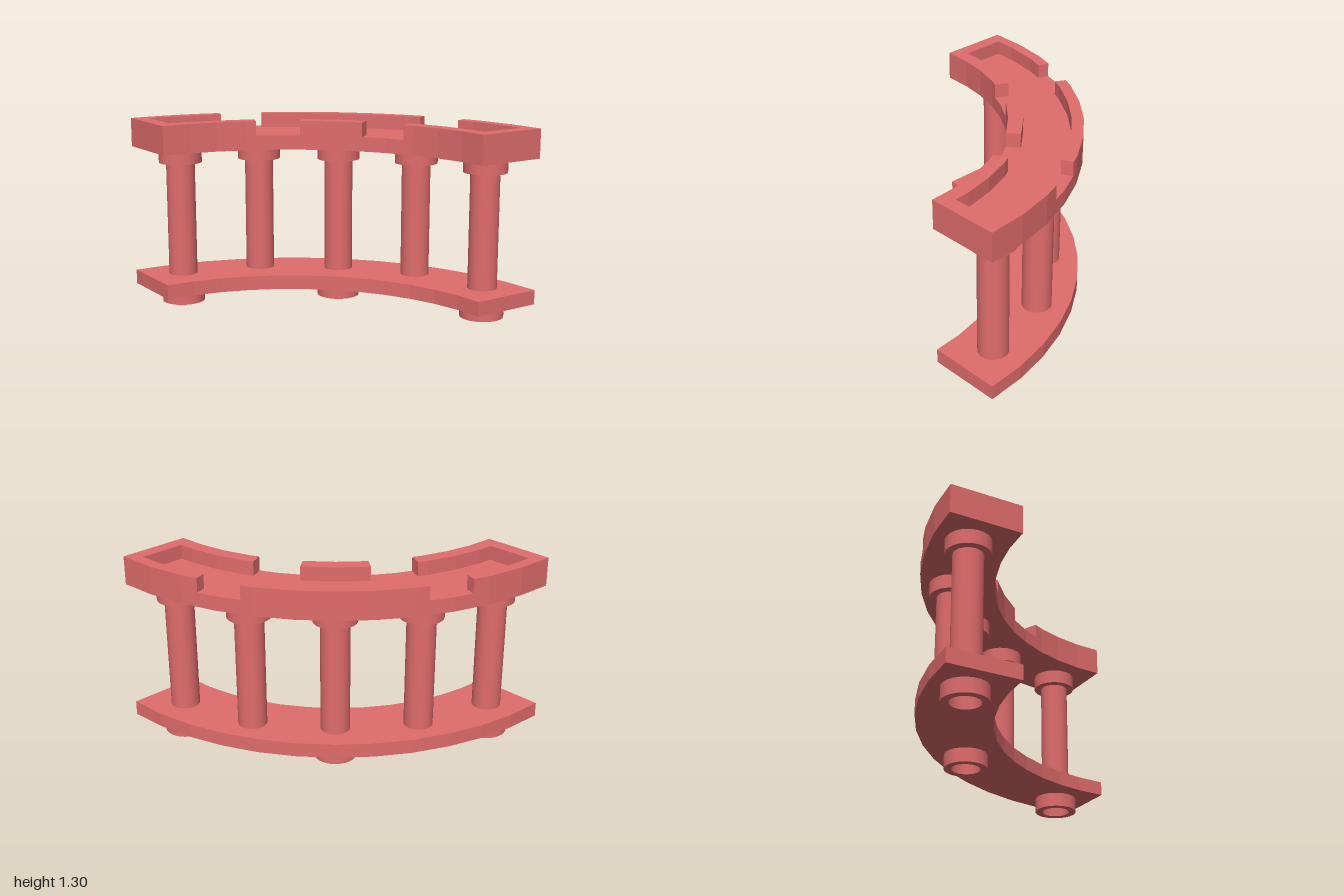
import * as THREE from 'three';
import { toCreasedNormals } from 'three/addons/utils/BufferGeometryUtils.js';

const STEP = 7.5; // degrees per facet of the quarter ring
const OUTER = 2, INNER = 1.5, WALL_OUT = 1.92, WALL_IN = 1.6;
const rad = THREE.MathUtils.degToRad;

// Point on a faceted arc centred on the corner (-1, 1)
function ringPoint(r, deg) {
  const local = deg - Math.floor(deg / STEP) * STEP - STEP / 2;
  const d = r * Math.cos(rad(STEP / 2)) / Math.cos(rad(local));
  return new THREE.Vector2(-1 + d * Math.sin(rad(deg)), -1 + d * Math.cos(rad(deg)));
}

// Faceted arc from angle a to a larger angle b
function arc(r, a, b) {
  const pts = [ringPoint(r, a)];
  for (let i = Math.floor(a / STEP) + 1; i * STEP < b - 1e-6; i++) pts.push(ringPoint(r, i * STEP));
  pts.push(ringPoint(r, b));
  return pts;
}

const band = (r0, r1, a, b) => [...arc(r1, a, b), ...arc(r0, a, b).reverse()];

export function createModel() {
  const group = new THREE.Group();
  const material = new THREE.MeshStandardMaterial({ color: 0xe06c6c });

  const add = (name, geometry, x = 0, y = 0, z = 0) => {
    const mesh = new THREE.Mesh(geometry, material);
    mesh.name = name;
    mesh.position.set(x, y, z);
    group.add(mesh);
  };
  const slab = (name, pts, y, height) => {
    const geo = new THREE.ExtrudeGeometry(new THREE.Shape(pts), { depth: height, bevelEnabled: false });
    add(name, geo.rotateX(-Math.PI / 2), 0, y, 0);
  };

  // Curved plates
  slab('basePlate', band(INNER, OUTER, 0, 90), 0.1, 0.1);
  slab('topPlate', band(INNER, OUTER, 0, 90), 1.1, 0.1);

  // Raised rims: a U-shaped one at each end, two separate pieces in the middle
  const endRim = [
    ...arc(OUTER, 0, 18.75),
    ...arc(WALL_OUT, 2.98, 18.75).reverse(),
    ...arc(WALL_IN, 3.58, 25.1),
    ...arc(INNER, 0, 25.1).reverse(),
  ];
  slab('rightEndRim', endRim, 1.2, 0.1);
  slab('leftEndRim', endRim.map((p) => new THREE.Vector2(p.y, p.x)), 1.2, 0.1);
  slab('outerRim', band(WALL_OUT, OUTER, 27.6, 62.4), 1.2, 0.1);
  slab('innerRim', band(INNER, WALL_IN, 36.7, 53.3), 1.2, 0.1);

  // Columns with collars; every second one has a hollow foot
  const column = new THREE.CylinderGeometry(0.1, 0.1, 0.9, 32);
  const collar = new THREE.CylinderGeometry(0.15, 0.15, 0.1, 32);
  const footProfile = [[0.1, 0.1], [0.1, 0], [0.15, 0], [0.15, 0.1]].map(([x, y]) => new THREE.Vector2(x, y));
  const foot = toCreasedNormals(new THREE.LatheGeometry(footProfile, 32), rad(35));
  const spots = [[-0.75, -0.75], [-0.2, -0.6], [0.25, -0.25], [0.6, 0.2], [0.75, 0.75]];
  spots.forEach(([x, z], i) => {
    add('column', column, x, 0.65, z);
    add('collar', collar, x, 1.05, z);
    if (i % 2 === 0) add('foot', foot, x, 0, z);
  });
  return group;
}
